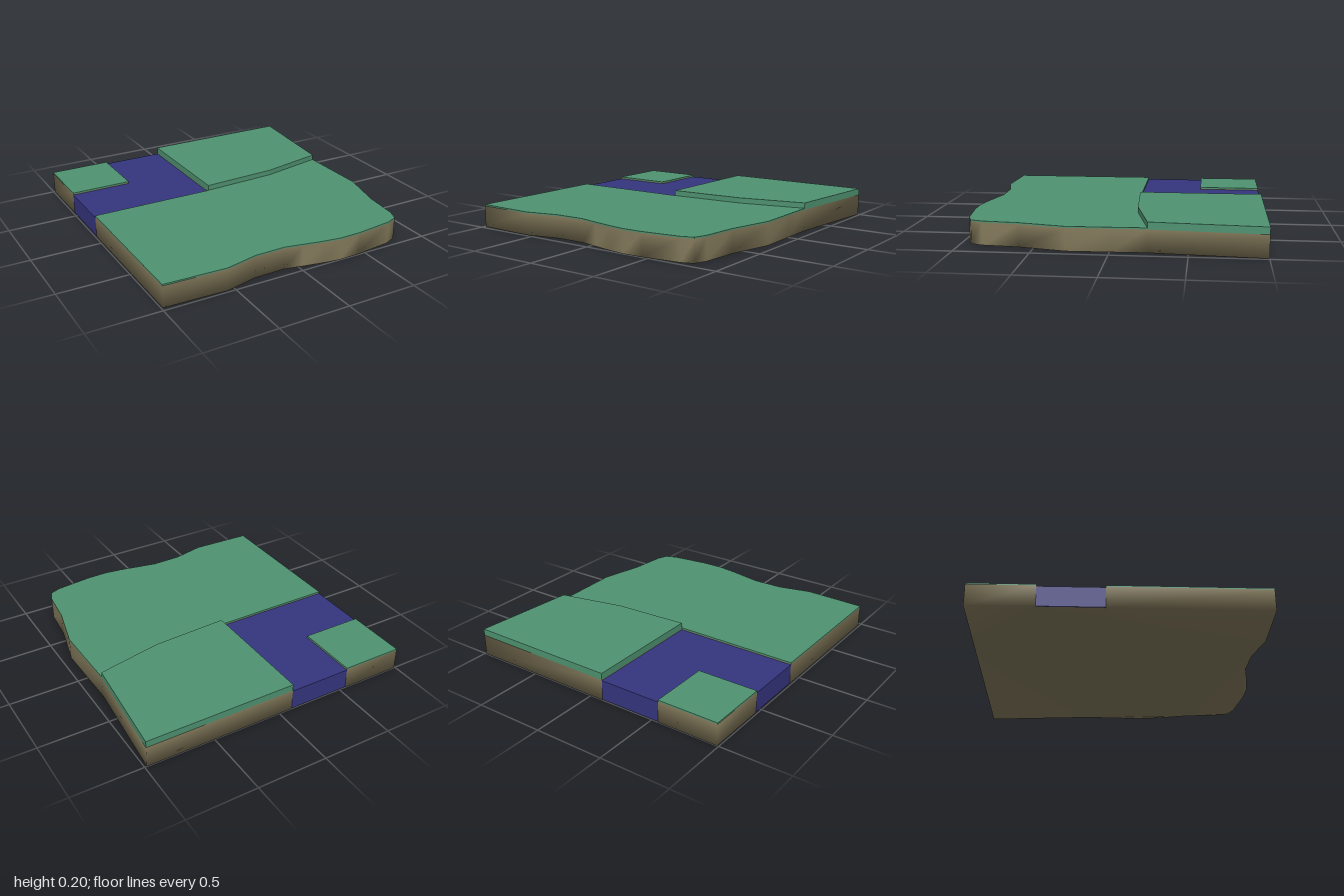
import * as THREE from 'three';

export function createModel() {
  const model = new THREE.Group();
  const material = (name, color) => {
    const m = new THREE.MeshStandardMaterial({ color });
    m.name = name;
    return m;
  };
  const grass = material('grass green', 0x4e9270);
  const earth = material('earth brown', 0x857b5c);
  const water = material('water blue', 0x35357f);

  const W = -0.99, R0 = -0.55, R1 = -0.1, Z1 = -0.11; // river bend limits
  const GROUND = 0.152, LAWN = 0.162, HIGH = 0.2, WATER = 0.147;

  const add = (name, geometry, mat) => {
    const mesh = new THREE.Mesh(geometry, mat);
    mesh.name = name;
    model.add(mesh);
  };
  // Flat slab from a plan outline of [x, z] points
  const slab = (name, points, y0, y1, mat) => {
    const shape = new THREE.Shape(points.map(([x, z]) => new THREE.Vector2(x, -z)));
    const g = new THREE.ExtrudeGeometry(shape, { depth: y1 - y0, bevelEnabled: false });
    g.rotateX(-Math.PI / 2).translate(0, y0, 0);
    add(name, g, mat);
  };

  // Plan outlines: wavy front shore, right edge and the step between lawns
  const shore = [[W, 0.97], [-0.55, 0.985], [-0.32, 0.93], [-0.1, 0.925], [0.03, 0.952],
    [0.17, 0.98], [0.3, 0.998], [0.45, 0.995], [0.72, 0.962], [0.8, 0.93], [0.83, 0.85],
    [0.855, 0.6], [0.93, 0.28], [0.925, 0]];
  const step = [[0.92, -0.24], [0.45, -0.14], [R1, Z1]];
  const corner = [0.985, -1];

  slab('frontLawn', [...shore, ...step, [W, Z1]], GROUND, LAWN, grass);
  slab('raisedLawn', [...step, [R1, -1], corner].reverse(), GROUND, HIGH, grass);
  slab('cornerLawn', [[W, -1], [W, R0], [R0, R0], [R0, -1]], GROUND, LAWN, grass);

  // River bend, reaching down both cut sides
  slab('river', [[W, R0], [W, Z1], [R1, Z1], [R1, -1], [R0, -1], [R0, R0]], 0.004, WATER, water);

  // Earth shell: softly shaded outer walls and underside, open where the river runs out
  const outline = [...shore, step[0], corner, [R1, -1], [R0, -1], [W, -1], [W, R0], [W, Z1]];
  const n = outline.length;
  const positions = [], index = [];
  for (const y of [0, GROUND]) for (const [x, z] of outline) positions.push(x, y, z);
  for (let i = 0; i < n; i++) {
    const j = (i + 1) % n;
    const [ax, az] = outline[i], [bx, bz] = outline[j];
    const riverMouth = (ax === R1 && bx === R0 && az === -1) || (az === R0 && bz === Z1);
    if (!riverMouth) index.push(i, j, j + n, i, j + n, i + n);
  }
  const plan = outline.map(([x, z]) => new THREE.Vector2(x, -z));
  for (const [a, b, c] of THREE.ShapeUtils.triangulateShape(plan, [])) index.push(a, c, b);
  const shell = new THREE.BufferGeometry();
  shell.setAttribute('position', new THREE.Float32BufferAttribute(positions, 3));
  shell.setIndex(index);
  shell.computeVertexNormals();
  add('earthBase', shell, earth);

  // Earth banks standing above the water line beside the river
  const bank = (name, x0, x1, z0, z1) =>
    slab(name, [[x0, z0], [x0, z1], [x1, z1], [x1, z0]], WATER - 0.01, GROUND, earth);
  bank('frontBank', W + 0.001, R1, Z1, Z1 + 0.01);
  bank('sideBank', R1, R1 + 0.01, -0.999, Z1);
  bank('cornerBankFront', W + 0.001, R0, R0 - 0.01, R0);
  bank('cornerBankSide', R0 - 0.01, R0, -0.999, R0);

  return model;
}
